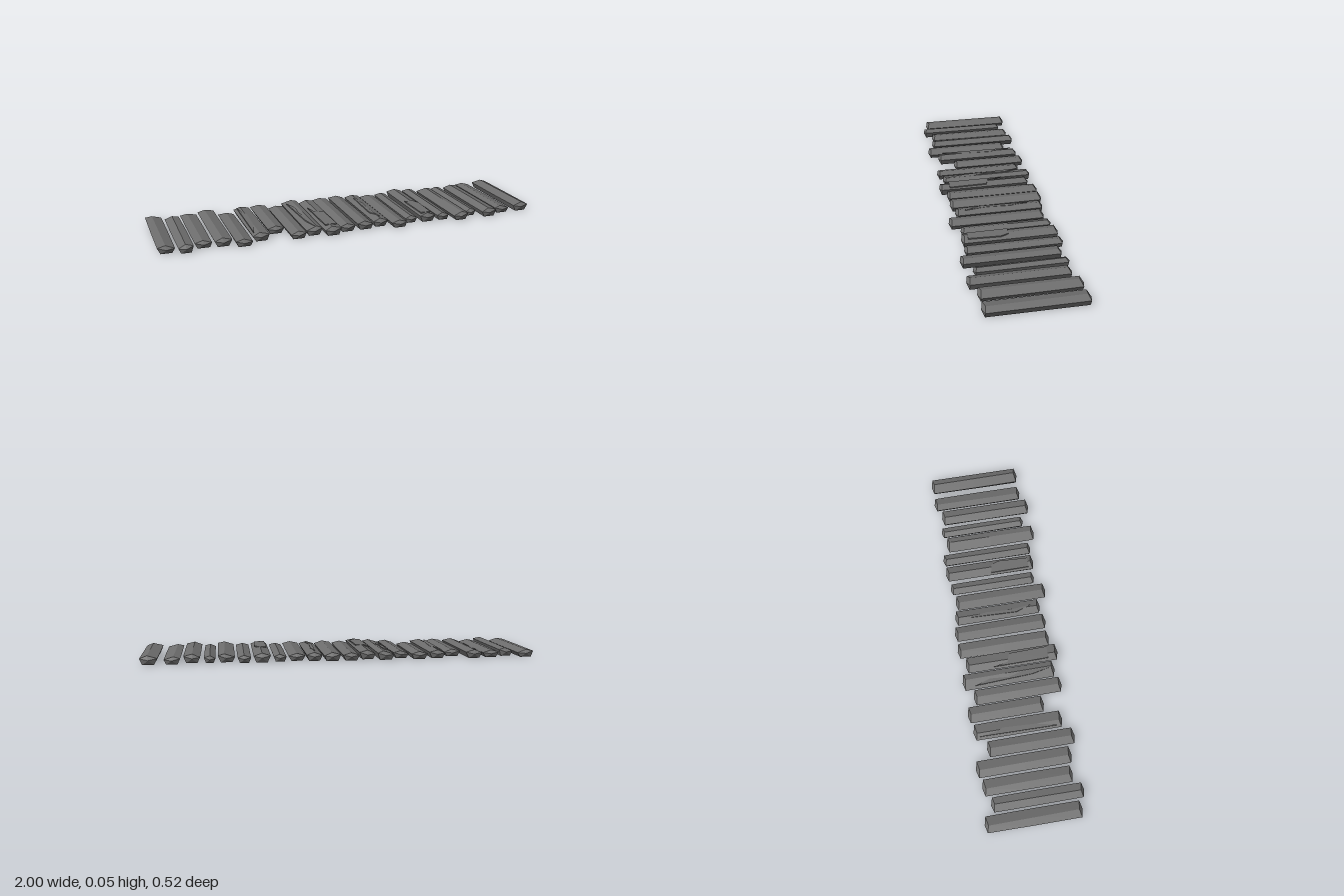
import * as THREE from 'three';

// One row per plank: left x, right x, back z, front z, height, ridge position across the width
const PLANKS = [
  [-1, -0.915, -0.267, 0.224, 0.038, 0.45], [-0.905, -0.83, -0.22, 0.25, 0.042, 0.5],
  [-0.82, -0.735, -0.25, 0.21, 0.036, 0.45], [-0.725, -0.64, -0.267, 0.222, 0.042, 0.45],
  [-0.63, -0.545, -0.195, 0.257, 0.036, 0.5], [-0.535, -0.45, -0.25, 0.21, 0.042, 0.4],
  [-0.44, -0.355, -0.265, 0.133, 0.038, 0.5], [-0.35, -0.27, -0.22, 0.243, 0.037, 0.5],
  [-0.265, -0.18, -0.265, 0.222, 0.045, 0.65], [-0.175, -0.09, -0.235, 0.255, 0.046, 0.45],
  [-0.088, -0.003, -0.265, 0.225, 0.039, 0.5], [0.008, 0.093, -0.265, 0.225, 0.042, 0.5],
  [0.1, 0.18, -0.25, 0.21, 0.042, 0.5], [0.185, 0.27, -0.235, 0.257, 0.037, 0.5],
  [0.28, 0.345, -0.25, 0.21, 0.036, 0.5], [0.36, 0.445, -0.262, 0.222, 0.046, 0.5],
  [0.457, 0.525, -0.265, 0.222, 0.037, 0.5], [0.537, 0.622, -0.233, 0.257, 0.042, 0.6],
  [0.633, 0.69, -0.25, 0.21, 0.036, 0.5], [0.707, 0.79, -0.235, 0.255, 0.044, 0.5],
  [0.803, 0.885, -0.265, 0.222, 0.037, 0.4], [0.913, 1, -0.265, 0.225, 0.045, 0.6],
];

// Split slivers lying on a plank: outline in x,z, then base height
const SPLINTERS = [
  { y: 0.036, pts: [[-0.52, -0.22], [-0.505, -0.12], [-0.492, -0.1], [-0.5, 0.07], [-0.525, 0.18]] },
  { y: 0.038, pts: [[-0.25, -0.2], [-0.225, -0.12], [-0.232, -0.02], [-0.205, 0.08], [-0.215, 0.2], [-0.235, 0.1]] },
  { y: 0.04, pts: [[-0.165, -0.09], [-0.15, -0.015], [-0.105, 0], [-0.1, 0.2], [-0.162, 0.2]] },
  { y: 0.037, pts: [[0.13, -0.17], [0.145, -0.08], [0.138, 0.05], [0.15, 0.16], [0.122, 0.08]] },
  { y: 0.04, pts: [[0.37, -0.015], [0.415, -0.01], [0.432, 0.03], [0.425, 0.19], [0.372, 0.19]] },
];

function seeded(seed) {
  return () => {
    seed = (seed * 16807) % 2147483647;
    return seed / 2147483647;
  };
}

// Five-sided log half: flat base, flared sides, low ridge, blunt pointed ends
function plankGeometry([x0, x1, z0, z1, h, ridge], rand) {
  const w = x1 - x0;
  const tilt = (rand() - 0.5) * 0.008;
  const profile = [
    [0.17, 0], [0.83, 0], [1, 0.7 * h + tilt], [ridge, h], [0, 0.7 * h - tilt],
  ];
  const inset = [0.011, 0.011, 0.01, 0.018, 0.01];
  const pos = [];
  const tri = (...corners) => corners.forEach((c) => pos.push(...c));
  const ring = (z, dir) => profile.map(([u, y], i) => {
    const wobble = dir ? (rand() - 0.5) * 0.05 : 0;
    return [x0 + w * Math.min(1, Math.max(0, u + wobble)), y, z + dir * inset[i]];
  });
  const back = ring(z0, 1);
  const mid = ring((z0 + z1) / 2, 0);
  const front = ring(z1, -1);
  const apexX = x0 + w * 0.5;
  const backTip = [apexX, h * 0.5, z0];
  const frontTip = [apexX, h * 0.5, z1];
  for (let i = 0; i < 5; i++) {
    const j = (i + 1) % 5;
    for (const [a, b] of [[back, mid], [mid, front]]) {
      tri(a[i], a[j], b[j]);
      tri(a[i], b[j], b[i]);
    }
    tri(front[i], front[j], frontTip);
    tri(back[j], back[i], backTip);
  }
  const geo = new THREE.BufferGeometry();
  geo.setAttribute('position', new THREE.Float32BufferAttribute(pos, 3));
  geo.computeVertexNormals();
  return geo;
}

function splinterGeometry(pts) {
  const shape = new THREE.Shape(pts.map(([x, z]) => new THREE.Vector2(x, -z)));
  const geo = new THREE.ExtrudeGeometry(shape, { depth: 0.006, bevelEnabled: false });
  return geo.rotateX(-Math.PI / 2);
}

export function createModel() {
  const group = new THREE.Group();
  group.name = 'plankWalkway';
  const wood = new THREE.MeshStandardMaterial({ color: 0x6e6e6e, flatShading: true });
  wood.name = 'weatheredGrey';
  const rand = seeded(77);

  // Row of loose planks
  PLANKS.forEach((row, i) => {
    const plank = new THREE.Mesh(plankGeometry(row, rand), wood);
    plank.name = `plank${i + 1}`;
    group.add(plank);
  });

  // Raised broken slivers on the cracked planks
  SPLINTERS.forEach(({ y, pts }, i) => {
    const splinter = new THREE.Mesh(splinterGeometry(pts), wood);
    splinter.name = `splinter${i + 1}`;
    splinter.position.y = y;
    group.add(splinter);
  });
  return group;
}
